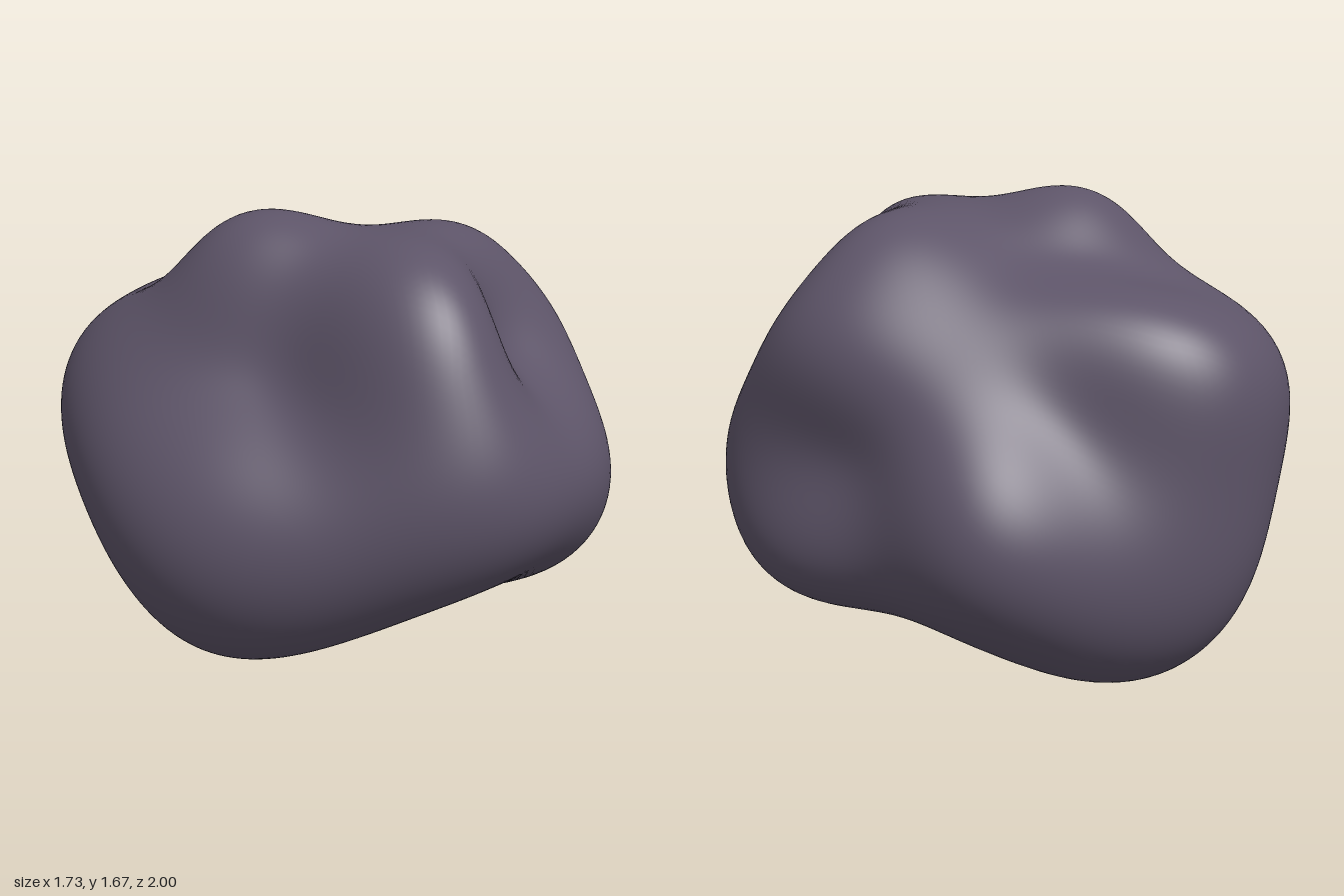
import * as THREE from 'three';
import { mergeVertices } from 'three/addons/utils/BufferGeometryUtils.js';

const CENTER = new THREE.Vector3(0, 0.82, 0);
const SHARPNESS = 6; // higher gives narrower bumps
const SMOOTHING = 0.003; // relaxes the fit between landmarks
const BASE_RADIUS = 0.86;

// Humps, hollows and corners of the boulder (x, y, z)
const LANDMARKS = [
  // crown and front nose
  [-0.2, 1.65, -0.17], [-0.45, 1.49, -0.15], [-0.1, 1.61, 0.3], [-0.03, 1.53, 0.65],
  [-0.05, 1.18, 0.88], [0, 0.75, 0.99], [-0.35, 1.42, 0.25],
  // right shoulder ridge with the slope behind and the hollow before it
  [0.22, 1.6, 0.3], [0.5, 1.54, 0.3], [0.22, 1.53, -0.04], [0.73, 1.36, 0.27],
  [0.85, 1.1, 0.27], [0.3, 1.27, 0.54], [0.55, 1.15, 0.6],
  // lower front corner
  [0.6, 0.72, 0.82], [0.8, 0.55, 0.6], [0.86, 0.48, 0.38], [0.6, 0.25, 0.33],
  // flat right side and the dent behind it
  [0.81, 0.84, 0.27], [0.79, 0.85, -0.3], [0.61, 1.29, -0.14], [0.55, 0.24, 0],
  [0.74, 0.72, -0.54], [0.44, 0.92, -0.61], [0.49, 0.52, -0.74], [0.42, 0.1, -0.4],
  // underside with its valley
  [0.1, 0, -0.55], [0.05, 0.24, 0.03], [0.2, 0.29, 0.3], [0.1, 0.43, 0.73],
  [-0.45, 0.12, 0.02], [-0.3, 0.07, -0.42], [-0.22, 0.21, 0.3],
  // back lobe and the saddle above it
  [-0.1, 0.42, -0.95], [-0.16, 0.8, -0.99], [0.05, 1.3, -0.8], [-0.1, 1.37, -0.53],
  [0.36, 1.31, -0.45], [0.27, 1.13, -0.8], [0.27, 0.88, -0.84],
  // left cheek, its undercut and upper hollow
  [-0.6, 0.83, -0.74], [-0.4, 1.25, -0.72], [-0.82, 0.7, -0.33],
  [-0.87, 0.65, 0], [-0.72, 0.3, 0.12], [-0.6, 0.63, 0.54],
  [-0.3, 0.7, 0.87], [-0.44, 1.12, 0.45], [-0.62, 1.15, -0.1], [-0.54, 0.4, -0.54],
];

const kernel = (a, b) => Math.exp(SHARPNESS * (a.dot(b) - 1));

// Gaussian elimination with pivoting on an augmented matrix
function solve(m) {
  const n = m.length;
  for (let c = 0; c < n; c++) {
    let p = c;
    for (let r = c + 1; r < n; r++) if (Math.abs(m[r][c]) > Math.abs(m[p][c])) p = r;
    [m[c], m[p]] = [m[p], m[c]];
    for (let r = 0; r < n; r++) {
      if (r === c) continue;
      const f = m[r][c] / m[c][c];
      for (let k = c; k <= n; k++) m[r][k] -= f * m[c][k];
    }
  }
  return m.map((row, i) => row[n] / row[i]);
}

// Smooth radius for any direction, blended from the landmarks
function makeRadius() {
  const offsets = LANDMARKS.map((p) => new THREE.Vector3(...p).sub(CENTER));
  const dirs = offsets.map((o) => o.clone().normalize());
  const weights = solve(dirs.map((d, i) => [
    ...dirs.map((e, j) => kernel(d, e) + (i === j ? SMOOTHING : 0)),
    offsets[i].length() - BASE_RADIUS,
  ]));
  return (d) => dirs.reduce((r, e, i) => r + weights[i] * kernel(d, e), BASE_RADIUS);
}

export function createModel() {
  // Even sphere, welded so the normals come out smooth
  let geometry = new THREE.IcosahedronGeometry(1, 32);
  geometry.deleteAttribute('normal');
  geometry.deleteAttribute('uv');
  geometry = mergeVertices(geometry, 1e-5);

  const radius = makeRadius();
  const position = geometry.attributes.position;
  const v = new THREE.Vector3();
  for (let i = 0; i < position.count; i++) {
    v.fromBufferAttribute(position, i).normalize();
    v.multiplyScalar(radius(v));
    position.setXYZ(i, v.x, v.y, v.z);
  }

  // Centre it and stand it on the ground
  geometry.center();
  geometry.translate(0, -geometry.boundingBox.min.y, 0);
  geometry.computeVertexNormals();

  const boulder = new THREE.Mesh(geometry, new THREE.MeshStandardMaterial({ color: 0x5d5468 }));
  boulder.name = 'boulder';
  const group = new THREE.Group();
  group.name = 'rock';
  group.add(boulder);
  return group;
}
